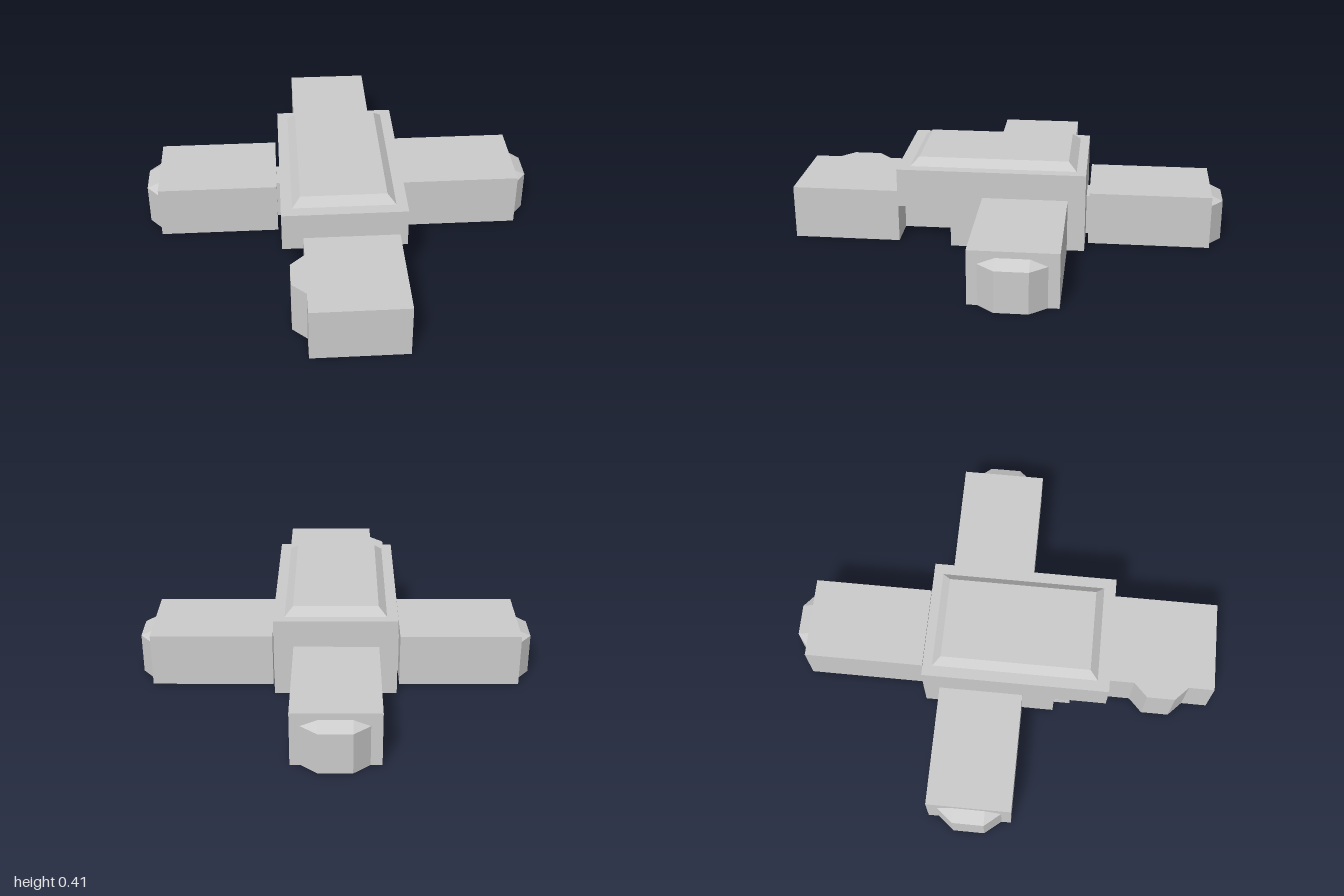
import * as THREE from 'three';
import { ConvexGeometry } from 'three/addons/geometries/ConvexGeometry.js';

const material = new THREE.MeshStandardMaterial({ color: 0xcccccc, flatShading: true });

function add(parent, name, geometry) {
  const mesh = new THREE.Mesh(geometry, material);
  mesh.name = name;
  parent.add(mesh);
  return mesh;
}

// Box given by its limits on each axis
function block(parent, name, [x0, x1], [y0, y1], [z0, z1]) {
  const mesh = add(parent, name, new THREE.BoxGeometry(x1 - x0, y1 - y0, z1 - z0));
  mesh.position.set((x0 + x1) / 2, (y0 + y1) / 2, (z0 + z1) / 2);
  return mesh;
}

// Bay projecting along local +z from a wall at z = 0, with an optional hipped top
function bay(parent, name, { half, front, depth, eave, ridge }, x, z, turn) {
  const points = [];
  for (const s of [-1, 1]) {
    for (const y of [0, eave]) {
      points.push(new THREE.Vector3(s * half, y, 0), new THREE.Vector3(s * front, y, depth));
    }
    if (ridge) points.push(new THREE.Vector3(s * front, ridge, 0));
  }
  const mesh = add(parent, name, new ConvexGeometry(points));
  mesh.position.set(x, 0, z);
  mesh.rotation.y = turn;
}

export function createModel() {
  const model = new THREE.Group();
  model.name = 'crossShapedBuilding';

  // Central hall: side profile with an overhang at the front, extruded across x
  const profile = new THREE.Shape([
    [0.365, 0], [0.365, 0.37], [-0.5, 0.37], [-0.5, 0.19], [-0.255, 0.19], [-0.255, 0],
  ].map(([u, v]) => new THREE.Vector2(u, v)));
  const hall = new THREE.ExtrudeGeometry(profile, { depth: 0.56, bevelEnabled: false });
  hall.translate(0, 0, -0.28);
  hall.rotateY(Math.PI / 2);
  add(model, 'centralHall', hall);

  // Raised roof with sloping edges
  const roofPoints = [];
  for (const s of [-1, 1]) {
    for (const [hx, hz, y] of [[0.23, 0.383, 0.37], [0.193, 0.345, 0.405]]) {
      roofPoints.push(new THREE.Vector3(s * hx, y, 0.062 - hz), new THREE.Vector3(s * hx, y, 0.062 + hz));
    }
  }
  add(model, 'raisedRoof', new ConvexGeometry(roofPoints));

  // Four wings
  const wall = [0, 0.25];
  block(model, 'leftWing', [0.29, 0.85], wall, [-0.285, 0.105]);
  block(model, 'rightWing', [-0.85, -0.295], wall, [-0.285, 0.105]);
  block(model, 'backWing', [-0.195, 0.19], wall, [-0.94, -0.38]);
  block(model, 'frontWing', [-0.185, 0.245], wall, [0.505, 1]);

  // Low passages joining the wings to the hall
  const low = [0, 0.19];
  block(model, 'leftPassage', [0.27, 0.295], low, [-0.16, -0.015]);
  block(model, 'rightPassage', [-0.3, -0.27], low, [-0.16, -0.015]);
  block(model, 'backPassage', [-0.07, 0.075], low, [-0.39, -0.355]);
  block(model, 'frontPassage', [-0.07, 0.08], low, [0.25, 0.51]);

  // Bays at the wing ends and on the side of the front wing
  const hipped = { half: 0.148, front: 0.073, depth: 0.062, eave: 0.19, ridge: 0.22 };
  bay(model, 'leftBay', hipped, 0.85, -0.088, Math.PI / 2);
  bay(model, 'rightBay', hipped, -0.85, -0.088, -Math.PI / 2);
  bay(model, 'backBay', hipped, 0, -0.938, Math.PI);
  bay(model, 'frontWingBay', { half: 0.128, front: 0.065, depth: 0.065, eave: 0.25 },
    -0.185, 0.752, -Math.PI / 2);

  // Slatted vent under the overhang
  for (let i = 0; i < 3; i++) {
    block(model, 'ventSlat', [-0.278, -0.2], [0.133 + i * 0.02, 0.147 + i * 0.02], [0.25, 0.33]);
  }
  block(model, 'ventCore', [-0.27, -0.205], [0.133, 0.19], [0.25, 0.322]);

  return model;
}
